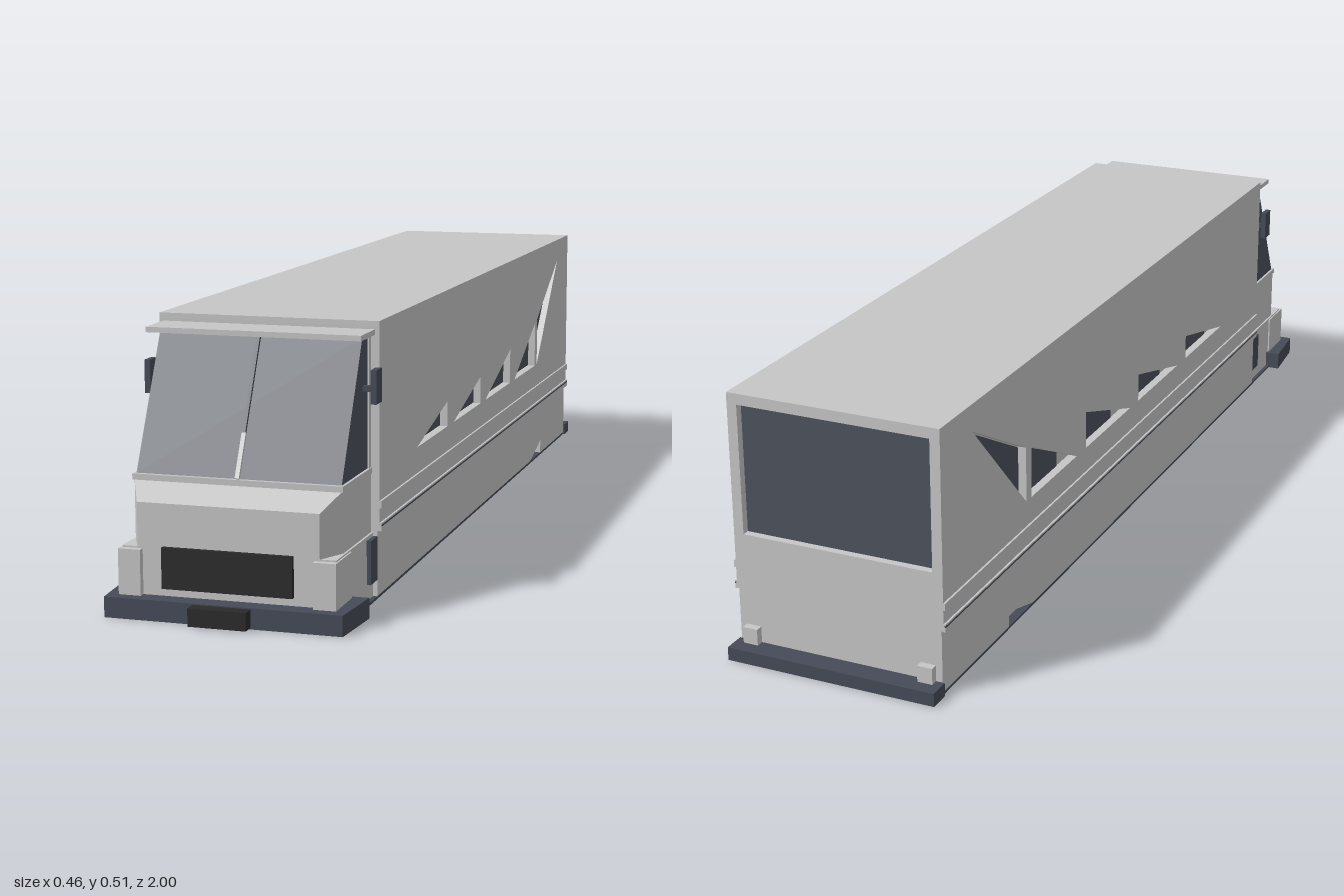
import * as THREE from 'three';
import { ConvexGeometry } from 'three/addons/geometries/ConvexGeometry.js';

const mat = (name, color) => {
  const m = new THREE.MeshStandardMaterial({ color });
  m.name = name;
  return m;
};

export function createModel() {
  const model = new THREE.Group();
  model.name = 'motorhome';
  const paint = mat('light grey paint', 0xc6c6c6);
  const slate = mat('slate trim', 0x454b57);
  const glass = mat('tinted glass', 0x4c525d);
  const black = mat('black grille', 0x2b2b2b);

  const add = (name, geo, material) => {
    const mesh = new THREE.Mesh(geo, material);
    mesh.name = name;
    model.add(mesh);
    return mesh;
  };
  // Box given by its limits on each axis
  const box = (name, material, x0, x1, y0, y1, z0, z1) => {
    const mesh = add(name, new THREE.BoxGeometry(x1 - x0, y1 - y0, z1 - z0), material);
    mesh.position.set((x0 + x1) / 2, (y0 + y1) / 2, (z0 + z1) / 2);
    return mesh;
  };
  const shape = (pts, Type = THREE.Shape) => new Type(pts.map(p => new THREE.Vector2(...p)));
  const rect = (a, b, c, d) => [[a, c], [b, c], [b, d], [a, d]];
  const panel = (outline, holes, depth) => {
    const s = shape(outline);
    s.holes = holes.map(h => shape(h, THREE.Path));
    return new THREE.ExtrudeGeometry(s, { depth, bevelEnabled: false });
  };
  // Side panel drawn in (z, y), reaching inward from x = outer, on both sides
  const sides = (name, material, outline, holes, outer, depth) => {
    const geo = panel(outline, holes, depth).rotateY(-Math.PI / 2);
    add('left' + name, geo, material).position.x = outer;
    add('right' + name, geo, material).position.x = -outer + depth;
  };

  const W = 0.212, T = 0.018, ZF = 0.72, ZB = -0.957, TOP = 0.514, MID = 0.128;

  // Window openings: door window, rising wedges and the rear swept triangle
  const doorWindow = rect(0.52, 0.69, 0.237, 0.505);
  const wedges = [[0.465, 0.235, 0.287], [0.185, -0.045, 0.294], [-0.09, -0.325, 0.312], [-0.37, -0.585, 0.338]]
    .map(([tip, end, top]) => [[tip, 0.235], [end, 0.235], [end, top]]);
  const swept = [[-0.608, 0.235], [-0.832, 0.462], [-0.608, 0.345]];
  const sideHoles = [doorWindow, ...wedges, swept];

  // Coach body
  sides('SideWall', paint, rect(ZB + T, ZF - T, MID, TOP - 0.01), sideHoles, W, T);
  box('bodyCore', paint, -W + T, W - T, MID, TOP - 0.01, ZB + T, ZF - T);
  box('roof', paint, -W, W, TOP - 0.01, TOP, ZB, ZF);
  box('frontBulkhead', paint, -W, W, MID, TOP - 0.01, ZF - T, ZF);
  const rearHole = rect(-0.192, 0.192, 0.24, 0.493);
  add('rearWall', panel(rect(-W, W, MID, TOP - 0.01), [rearHole], T), paint).position.z = ZB;
  box('rearWindow', glass, -0.192, 0.192, 0.24, 0.493, ZB + T - 0.003, ZB + T);

  // Recessed side glass, stopping short of the narrow tips
  sides('DoorWindow', glass, doorWindow, [], W - T + 0.003, 0.003);
  wedges.forEach(([[tip], [end], [, top]], i) => {
    const z = tip + (end - tip) * 0.3, y = 0.235 + (top - 0.235) * 0.3;
    sides('WedgeWindow' + (i + 1), glass, [[z, 0.237], [end + 0.004, 0.237], [end + 0.004, top - 0.004], [z, y]], [], W - T + 0.003, 0.003);
  });
  sides('SweptWindow', glass, [[-0.611, 0.24], [-0.785, 0.415], [-0.785, 0.435], [-0.611, 0.344]], [], W - T + 0.003, 0.003);

  // Lower skirt with a small wedge recess, and the dark floor
  sides('Skirt', paint, [[ZF, 0.005], [ZF, MID], [ZB, MID], [ZB, 0.005], [-0.68, 0.005], [-0.68, 0.036], [-0.57, 0.005]], [], 0.208, T);
  box('skirtCore', paint, -0.19, 0.19, 0.005, MID, ZB, ZF);
  box('floor', slate, -0.208, 0.208, 0, 0.005, ZB, 0.94);

  // Side rub rails and seam
  for (const s of [-1, 1]) {
    const x0 = Math.min(s * W, s * 0.216), x1 = Math.max(s * W, s * 0.216);
    box('lowerRail', paint, x0, x1, 0.127, 0.143, ZB, ZF);
    box('upperRail', paint, x0, x1, 0.17, 0.184, ZB, ZF);
    box('railSeam', slate, Math.min(s * W, s * 0.2168), Math.max(s * W, s * 0.2168), 0.137, 0.14, ZB, ZF);
  }

  // Cab: nose, chamfered hood and cowl shelf
  box('cabBase', paint, -0.2, 0.2, 0.005, 0.125, ZF, 0.94);
  const hood = [];
  for (const s of [-1, 1]) {
    for (const y of [0.12, 0.237]) for (const z of [ZF, 0.888]) hood.push(new THREE.Vector3(s * 0.196, y, z));
    for (const y of [0.12, 0.206]) hood.push(new THREE.Vector3(s * 0.17, y, 0.941));
  }
  add('hood', new ConvexGeometry(hood), paint);
  box('cowl', paint, -0.198, 0.198, 0.235, 0.246, ZF, 0.894);

  // Greenhouse with side glass, pillars and sun visor
  const cabGlass = [[ZF, 0.246], [0.886, 0.246], [0.762, 0.49], [ZF, 0.49]];
  const cab = panel(cabGlass, [], 0.386).rotateY(-Math.PI / 2);
  add('cabGlass', cab, glass).position.x = 0.193;
  sides('CabPillar', paint, rect(ZF, 0.732, 0.246, 0.49), [], 0.196, 0.006);
  box('sunVisor', paint, -0.204, 0.204, 0.489, 0.499, ZF, 0.806);

  // Windscreen divider: dark above, pale below
  const lean = Math.atan2(0.124, 0.244);
  const divider = (name, material, y0, y1, w) => {
    const y = (y0 + y1) / 2;
    const m = add(name, new THREE.BoxGeometry(w, (y1 - y0) / Math.cos(lean), 0.008), material);
    m.position.set(0, y, 0.886 - (y - 0.246) * Math.tan(lean) + 0.002);
    m.rotation.x = -lean;
  };
  divider('dividerBase', paint, 0.246, 0.322, 0.008);
  divider('dividerTop', slate, 0.322, 0.487, 0.006);

  // Headlight blocks, mirrors and rear buffers on both sides
  for (const s of [-1, 1]) {
    const pair = (name, m, a, b, ...r) => box(name, m, Math.min(s * a, s * b), Math.max(s * a, s * b), ...r);
    pair('headlightBlock', paint, 0.161, 0.203, 0.036, 0.122, 0.86, 0.953);
    pair('fenderSide', slate, 0.2, 0.208, 0.036, 0.118, ZF, 0.76);
    pair('mirrorArm', slate, 0.193, 0.214, 0.392, 0.402, 0.748, 0.762);
    pair('mirror', slate, 0.211, 0.222, 0.371, 0.433, 0.738, 0.772);
    pair('rearBuffer', paint, 0.165, 0.195, 0.022, 0.058, -0.972, ZB);
  }

  // Grille
  box('grille', black, -0.122, 0.122, 0.053, 0.128, 0.94, 0.95);

  // Wraparound front bumper, extruded upward from its plan
  const plan = [[-0.222, -0.975], [0.222, -0.975], [0.232, -0.85], [0.2, -0.85], [0.2, -0.935],
    [-0.2, -0.935], [-0.2, -0.85], [-0.232, -0.85]];
  add('frontBumper', panel(plan, [], 0.038).rotateX(-Math.PI / 2), slate);
  box('bumperPad', black, -0.054, 0.054, 0.003, 0.036, 0.97, 1);
  box('rearBumper', slate, -0.212, 0.212, 0, 0.026, -1, ZB);

  return model;
}
